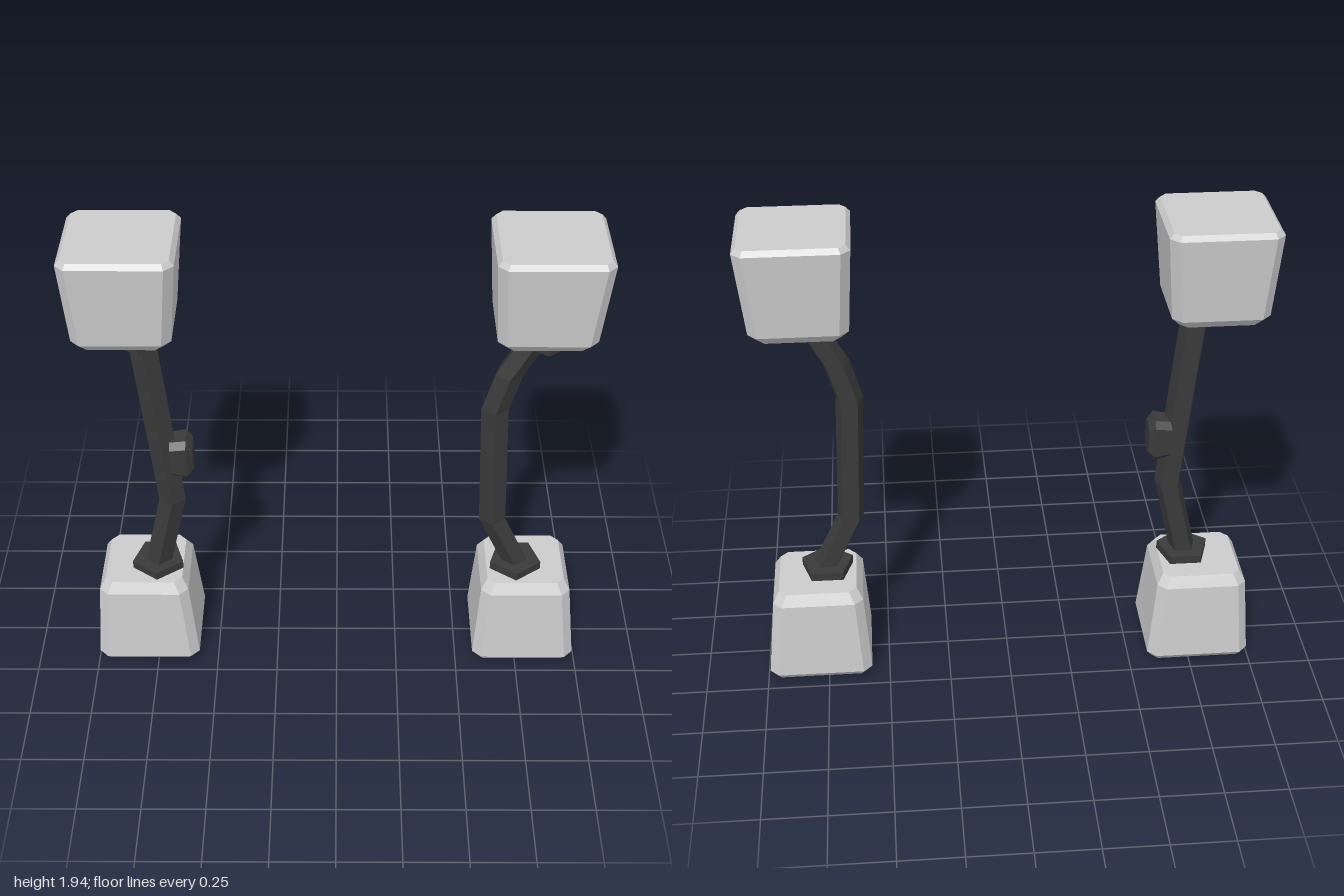
import * as THREE from 'three';

// Closed faceted solid through stacked rings of [x, y, z] points (rings rise in y, counterclockwise from above)
function loft(rings) {
  const n = rings[0].length, index = [];
  for (let i = 0; i < rings.length - 1; i++) {
    for (let j = 0; j < n; j++) {
      const a = i * n + j, b = i * n + (j + 1) % n;
      index.push(a, b, b + n, a, b + n, a + n);
    }
  }
  const last = (rings.length - 1) * n;
  for (let j = 1; j < n - 1; j++) {
    index.push(0, j + 1, j, last, last + j, last + j + 1);
  }
  const g = new THREE.BufferGeometry();
  g.setAttribute('position', new THREE.Float32BufferAttribute(rings.flat(2), 3));
  g.setIndex(index);
  const flat = g.toNonIndexed();
  flat.computeVertexNormals();
  return flat;
}

// Rectangle ring with cut corners
function cutRect(x, y, z, hx, hz, c) {
  return [[hx - c, hz], [hx, hz - c], [hx, c - hz], [hx - c, -hz],
    [c - hx, -hz], [-hx, c - hz], [-hx, hz - c], [c - hx, hz]]
    .map(([px, pz]) => [x + px, y, z + pz]);
}

// Five-sided ring with one corner facing the front
function pentagon(x, y, z, r) {
  return Array.from({ length: 5 }, (_, k) => {
    const a = k * Math.PI * 2 / 5;
    return [x + r * Math.sin(a), y, z + r * Math.cos(a)];
  });
}

export function createModel() {
  const model = new THREE.Group();
  const grey = new THREE.MeshStandardMaterial({ color: 0xcccccc, flatShading: true });
  const dark = new THREE.MeshStandardMaterial({ color: 0x3a3a3a, flatShading: true });
  const add = (parent, name, geometry, material) => {
    const mesh = new THREE.Mesh(geometry, material);
    mesh.name = name;
    parent.add(mesh);
    return mesh;
  };

  // Block profiles: y, centre x offset, half width, half depth, corner cut
  const lower = [[0.006, 0, 0.19, 0.18, 0.025], [0.035, 0, 0.21, 0.203, 0.035],
    [0.36, -0.005, 0.182, 0.176, 0.035], [0.405, -0.005, 0.157, 0.15, 0.03]];
  const upper = [[1.555, -0.005, 0.155, 0.148, 0.03], [1.59, -0.005, 0.186, 0.175, 0.035],
    [1.93, 0, 0.212, 0.205, 0.035], [1.95, 0, 0.195, 0.19, 0.025]];

  // Each column: block centre, bent post path [x, y], collar centres
  const columns = [
    { name: 'rightColumn', x: -0.788, collars: [-0.738, -0.738],
      path: [[-0.745, 0.39], [-0.66, 0.76], [-0.7, 1.2], [-0.735, 1.57]] },
    { name: 'leftColumn', x: 0.782, collars: [0.737, 0.785],
      path: [[0.757, 0.39], [0.63, 0.66], [0.61, 1.21], [0.655, 1.37], [0.765, 1.57]] },
  ];

  for (const col of columns) {
    const group = new THREE.Group();
    group.name = col.name;
    model.add(group);
    const block = (rows) => loft(rows.map(([y, dx, hx, hz, c]) => cutRect(col.x + dx, y, -0.003, hx, hz, c)));
    add(group, 'lowerBlock', block(lower), grey);
    add(group, 'upperBlock', block(upper), grey);
    add(group, 'post', loft(col.path.map(([x, y]) => pentagon(x, y, 0.023, 0.056))), dark);
    [['lowerCollar', 0.39, 0.44], ['upperCollar', 1.52, 1.57]].forEach(([name, y0, y1], i) => {
      const x = col.collars[i];
      add(group, name, loft([pentagon(x, y0, 0.022, 0.109), pentagon(x, y1, 0.022, 0.109)]), dark);
    });
  }

  // Handle knob on the inner side of the right post, lofted upward then laid along +x
  const knob = add(model.children[0], 'knob', loft([
    cutRect(0, 0, 0, 0.08, 0.06, 0.025),
    cutRect(0, 0.065, 0, 0.09, 0.065, 0.025),
    cutRect(0, 0.09, 0, 0.065, 0.045, 0.02),
  ]), dark);
  knob.rotation.z = -Math.PI / 2;
  knob.position.set(-0.655, 0.98, 0.024);

  return model;
}
